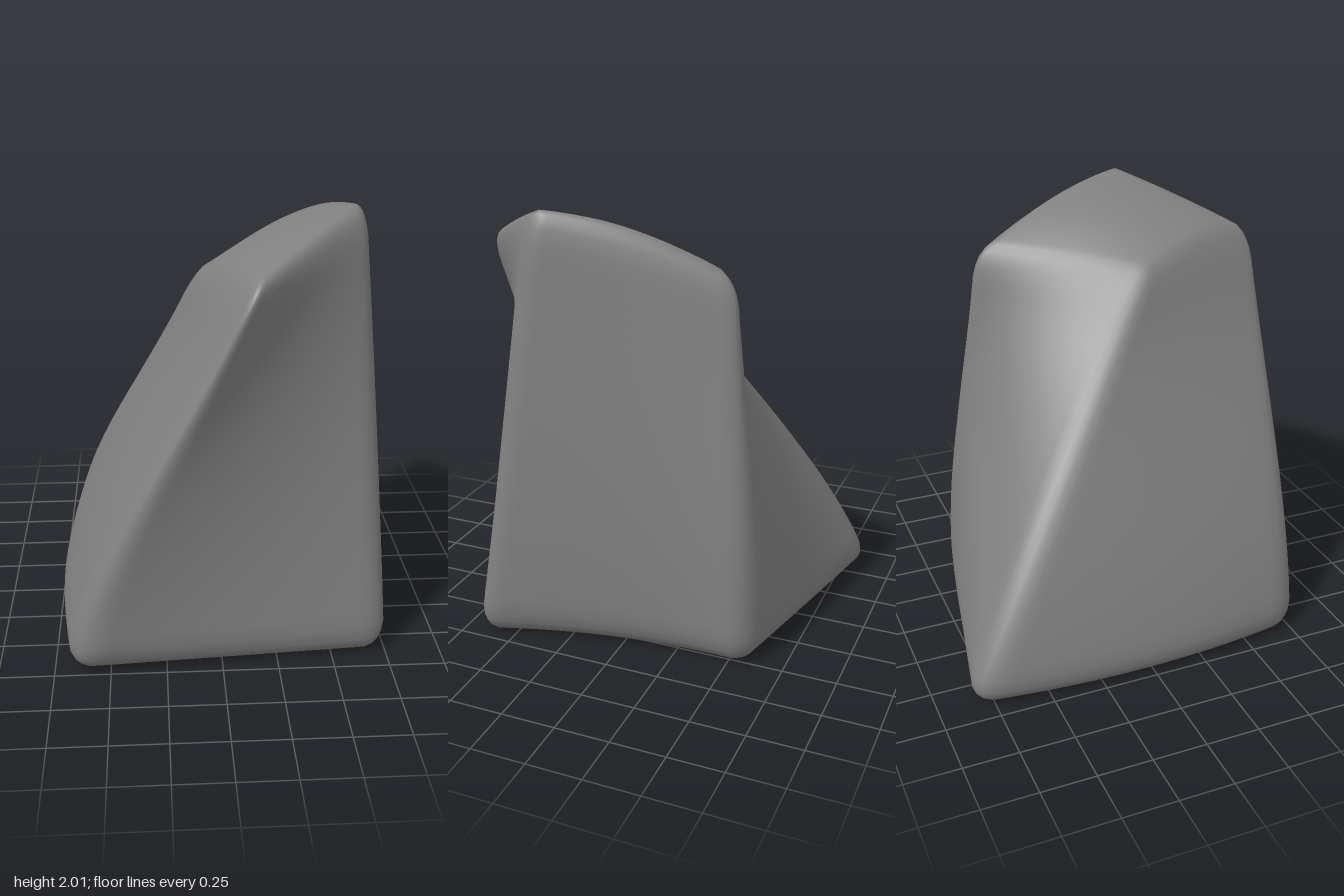
import * as THREE from 'three';
import { mergeVertices } from 'three/addons/utils/BufferGeometryUtils.js';

// Corners of the boulder, each [x, y, z]
const BOTTOM = {
  backLeft: [-0.69, 0, -0.90], backRight: [0.57, 0, -0.60],
  frontLeft: [-0.69, 0, 0.785], frontRight: [0.785, 0, 0.675],
};
const TOP = {
  backLeft: [-0.11, 1.69, 0.21], backRight: [0.37, 1.74, -0.49],
  frontLeft: [0.12, 1.77, 0.865], frontRight: [0.64, 2.03, 0.36],
};
const ROUND = 0.16;     // edge radius on the unit cube
const BEND = 0.075;     // sideways bow of the foot
const CROWN = 0.09;     // swelling of the top
const BELLY = 0.075;    // swelling low on the left and back
const SWELL = 0.05;     // swelling of the back and right faces

const corner = (a) => new THREE.Vector3(...a);

// Bilinear blend across one layer of four corners
function layer(c, s, t) {
  const back = corner(c.backLeft).lerp(corner(c.backRight), s);
  const front = corner(c.frontLeft).lerp(corner(c.frontRight), s);
  return back.lerp(front, t);
}

function boulderGeometry() {
  const box = new THREE.BoxGeometry(2, 2, 2, 28, 28, 28);
  box.deleteAttribute('normal');
  box.deleteAttribute('uv');
  const geo = mergeVertices(box, 1e-4);
  const pos = geo.attributes.position;
  const p = new THREE.Vector3();
  const core = new THREE.Vector3();
  const limit = 1 - ROUND;
  for (let i = 0; i < pos.count; i++) {
    // Round the cube's edges
    p.fromBufferAttribute(pos, i);
    core.copy(p).clampScalar(-limit, limit);
    p.sub(core).setLength(ROUND).add(core);
    // Warp the cube to the eight corners
    const s = (p.x + 1) / 2, h = (p.y + 1) / 2, t = (p.z + 1) / 2;
    const q = layer(BOTTOM, s, t).lerp(layer(TOP, s, t), h);
    // Bow the foot and swell the belly
    const openX = 1 - p.x * p.x, openY = 1 - p.y * p.y, openZ = 1 - p.z * p.z;
    const belly = BELLY * 6.75 * h * (1 - h) ** 2;
    q.x += belly * (0.5 * s * (1 - t) - (1 - s)) - BEND * openZ * (1 - h);
    q.z -= belly * (1 - t) * (0.7 - 0.4 * s);
    // Swell the right and back faces, and crown the top
    q.x += 0.7 * SWELL * s * openY * openZ;
    q.z -= SWELL * (1 - t) * openY * openX;
    q.y += 0.4 * SWELL * (1 - t) * openY * openX;
    q.y += CROWN * openZ * (1 - p.x * p.x / 2) * h ** 3;
    pos.setXYZ(i, q.x, q.y, q.z);
  }
  geo.computeVertexNormals();
  return geo;
}

export function createModel() {
  const group = new THREE.Group();
  group.name = 'rock';
  const stone = new THREE.MeshStandardMaterial({ color: 0x808080 });
  stone.name = 'stone grey';
  const boulder = new THREE.Mesh(boulderGeometry(), stone);
  boulder.name = 'boulder';
  group.add(boulder);
  return group;
}
